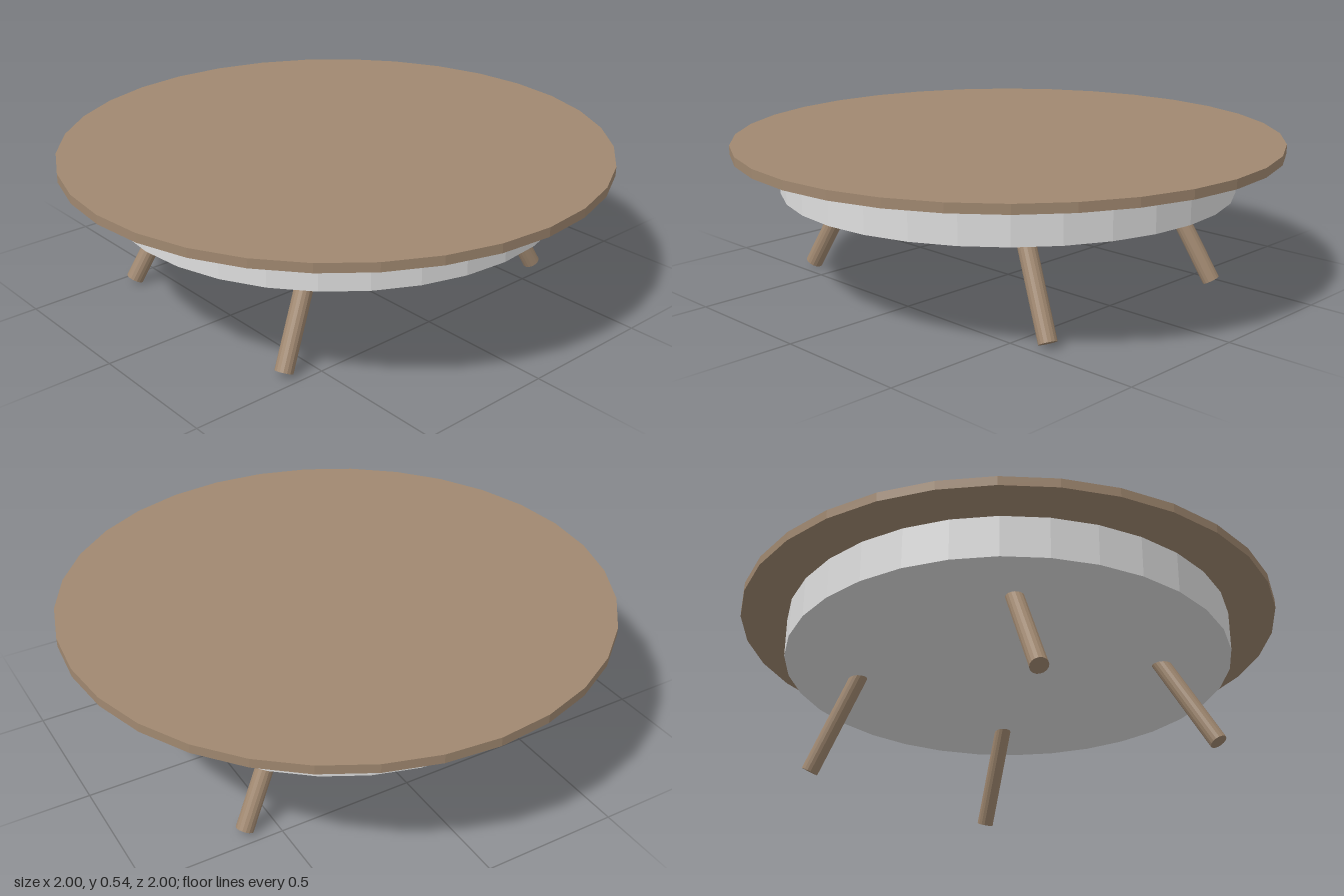
import * as THREE from 'three';

export function createModel() {
  const group = new THREE.Group();
  const wood = new THREE.MeshStandardMaterial({ name: 'wood', color: 0xa08870, flatShading: true });
  const white = new THREE.MeshStandardMaterial({ name: 'paleGrey', color: 0xdedede, flatShading: true });

  // Upright disc between two heights
  const disc = (name, radius, bottom, top, material) => {
    const mesh = new THREE.Mesh(new THREE.CylinderGeometry(radius, radius, top - bottom, 32), material);
    mesh.name = name;
    mesh.position.y = (bottom + top) / 2;
    group.add(mesh);
  };
  disc('tableTop', 1, 0.51, 0.543, wood);
  disc('apron', 0.83, 0.36, 0.51, white);

  // Four splayed round legs, their upper ends set into the apron
  const up = new THREE.Vector3(0, 1, 0);
  for (const sx of [-1, 1]) {
    for (const sz of [-1, 1]) {
      const foot = new THREE.Vector3(sx * 0.444, 0.016, sz * 0.614);
      const head = new THREE.Vector3(sx * 0.37, 0.39, sz * 0.418);
      const axis = head.clone().sub(foot);
      const leg = new THREE.Mesh(new THREE.CylinderGeometry(0.032, 0.032, axis.length(), 16), wood);
      leg.name = (sz > 0 ? 'front' : 'back') + (sx > 0 ? 'Left' : 'Right') + 'Leg';
      leg.position.copy(foot).add(head).multiplyScalar(0.5);
      leg.quaternion.setFromUnitVectors(up, axis.normalize());
      group.add(leg);
    }
  }
  return group;
}
